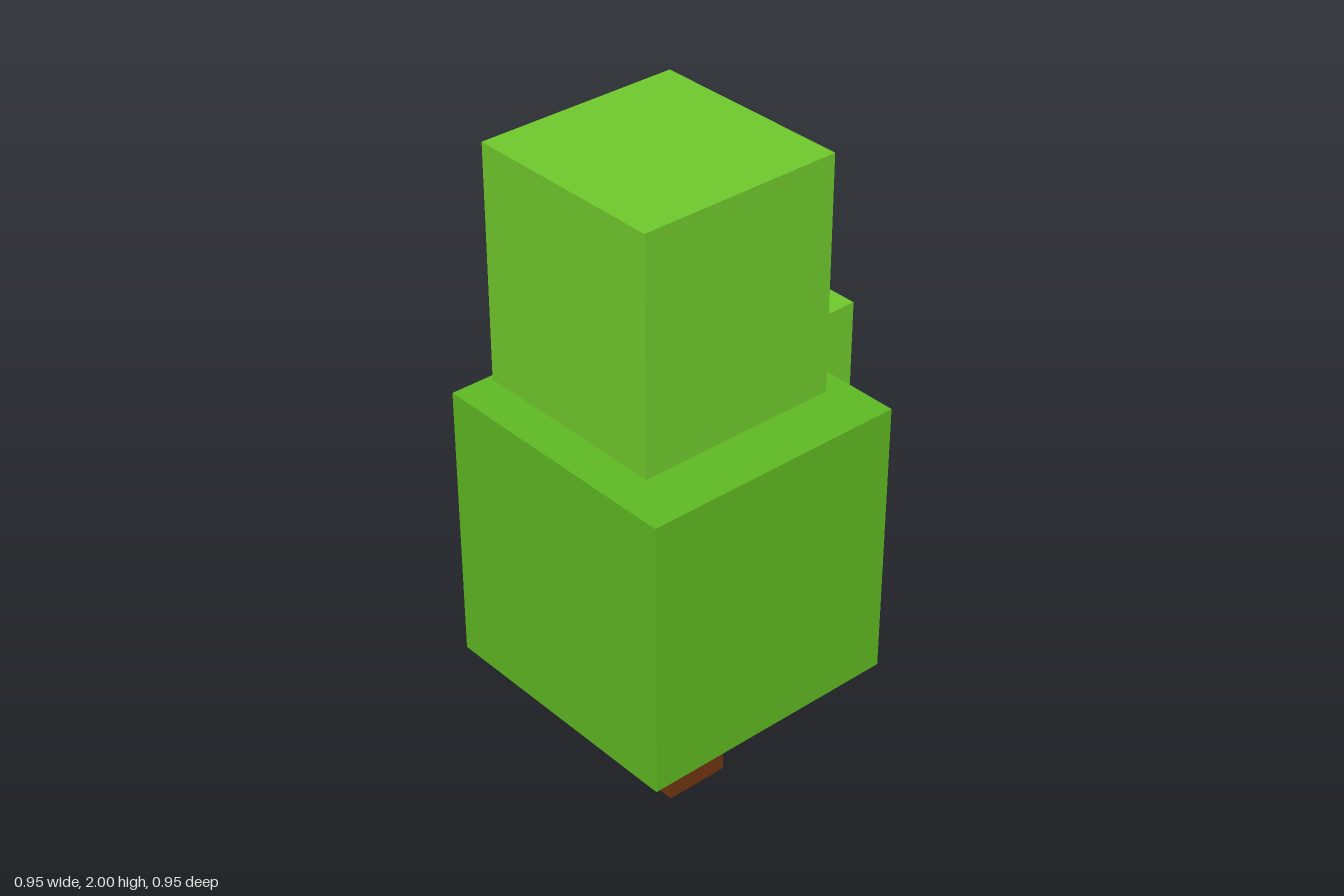
import * as THREE from 'three';

const paint = (name, color) => {
  const material = new THREE.MeshStandardMaterial({ color });
  material.name = name;
  return material;
};

// Box spanning two opposite corners
function block(name, material, min, max) {
  const size = max.map((v, i) => v - min[i]);
  const mesh = new THREE.Mesh(new THREE.BoxGeometry(...size), material);
  mesh.position.set(...max.map((v, i) => (v + min[i]) / 2));
  mesh.name = name;
  return mesh;
}

export function createModel() {
  const bark = paint('bark brown', 0x6f340f);
  const darkLeaf = paint('dark leaf green', 0x5fb922);
  const lightLeaf = paint('light leaf green', 0x70c92c);

  const tree = new THREE.Group();
  tree.name = 'tree';
  tree.add(
    // Trunk, running slightly into the foliage
    block('trunk', bark, [-0.103, 0, -0.1], [0.096, 0.52, 0.099]),
    // Three overlapping foliage blocks
    block('lowerFoliage', darkLeaf, [-0.477, 0.49, -0.32], [0.315, 1.316, 0.473]),
    block('sideFoliage', lightLeaf, [-0.166, 0.72, -0.475], [0.475, 1.43, 0.166]),
    block('topFoliage', lightLeaf, [-0.36, 1.3, -0.303], [0.247, 2, 0.304]),
  );
  return tree;
}
